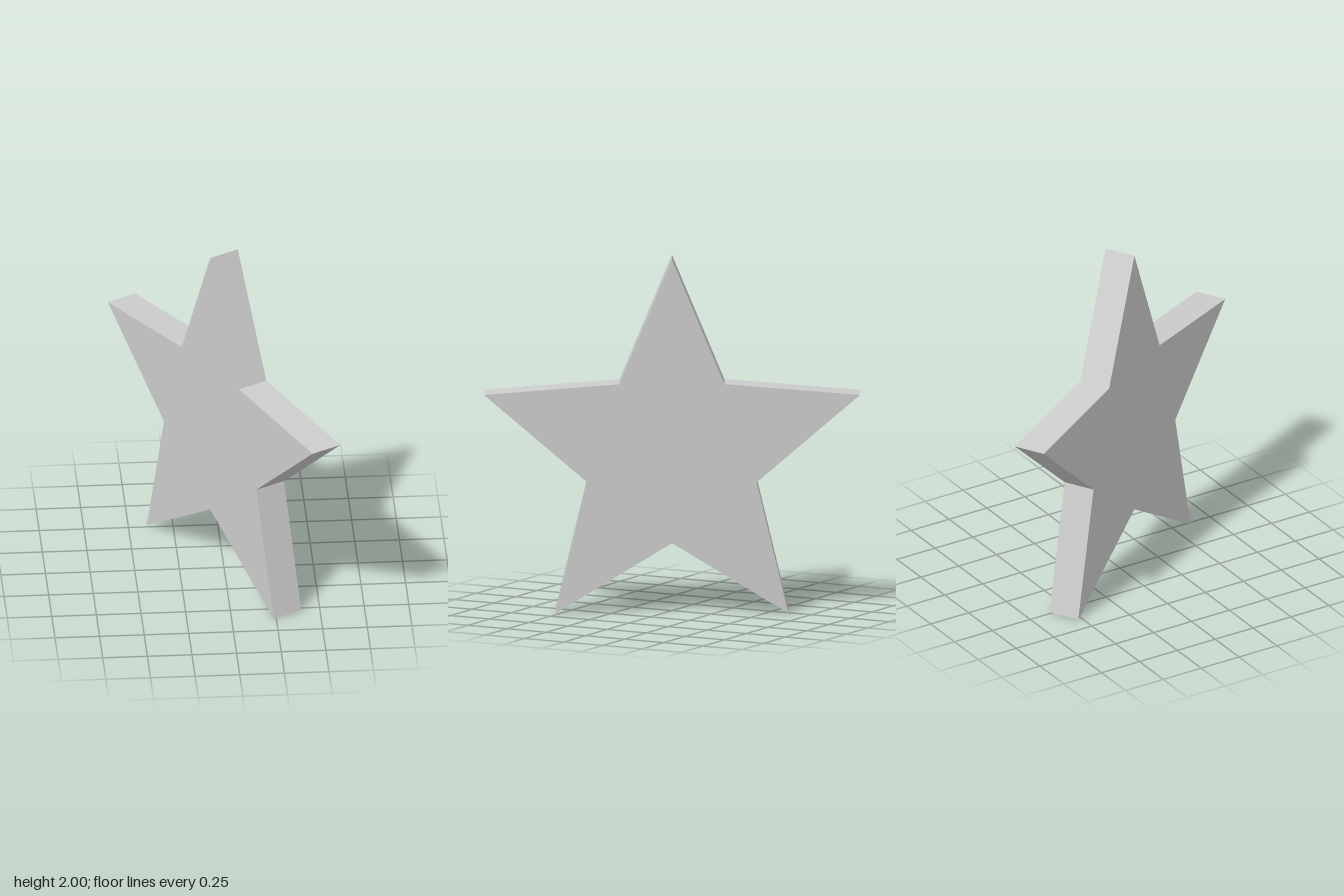
import * as THREE from 'three';

const OUTER = 1.1056, INNER = 0.4975, DEPTH = 0.184;

export function createModel() {
  const grey = new THREE.MeshStandardMaterial({ color: 0xcccccc });
  grey.name = 'light grey';

  // Five-pointed outline, alternating tips and notches from the top tip
  const points = [];
  for (let i = 0; i < 10; i++) {
    const r = i % 2 ? INNER : OUTER;
    const a = Math.PI / 2 + (i * Math.PI) / 5;
    points.push(new THREE.Vector2(r * Math.cos(a), r * Math.sin(a)));
  }

  // Flat slab with sharp edges, centred in its thickness
  const geometry = new THREE.ExtrudeGeometry(new THREE.Shape(points), { depth: DEPTH, bevelEnabled: false });
  geometry.translate(0, OUTER * Math.cos(Math.PI / 5), -DEPTH / 2);

  const star = new THREE.Mesh(geometry, grey);
  star.name = 'star';
  star.rotation.y = THREE.MathUtils.degToRad(-61);

  const model = new THREE.Group();
  model.name = 'starModel';
  model.add(star);
  return model;
}
